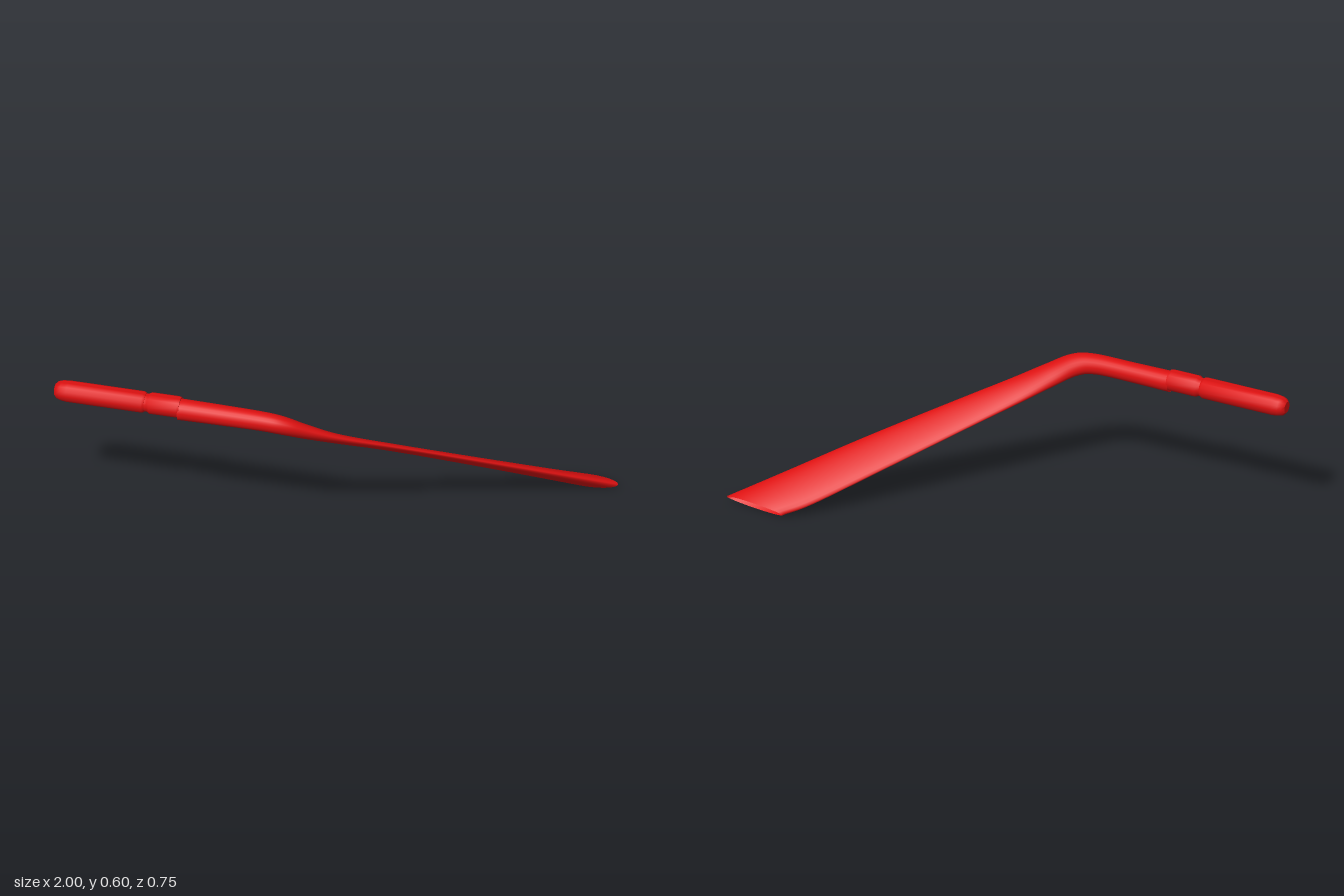
import * as THREE from 'three';
import { toCreasedNormals } from 'three/addons/utils/BufferGeometryUtils.js';

const red = new THREE.MeshStandardMaterial({ color: 0xdd1010, side: THREE.DoubleSide });
const ORIGIN = new THREE.Vector3(0, 0.553, 0.336);
// The lever bends in a tilted plane spanned by x and ACROSS; NORMAL is its thin direction
const ACROSS = new THREE.Vector3(0, -0.605, -0.796);
const NORMAL = new THREE.Vector3(0, 0.796, -0.605);

// Sections: inner edge x, v; outer edge x, v; offset along NORMAL; half thickness
const SECTIONS = [
  [-0.52, 0.040, -0.52, -0.040, -0.003, 0.041],
  [-0.36, 0.038, -0.36, -0.038, -0.003, 0.039],
  [-0.22, 0.040, -0.19, -0.036, -0.004, 0.037],
  [-0.15, 0.060, -0.10, -0.015, -0.008, 0.035],
  [-0.08, 0.115, -0.01, 0.045, -0.016, 0.027],
  [0.03, 0.215, 0.10, 0.128, -0.021, 0.018],
  [0.20, 0.375, 0.30, 0.285, -0.016, 0.014],
  [0.45, 0.610, 0.57, 0.500, -0.012, 0.016],
  [0.66, 0.805, 0.81, 0.700, -0.009, 0.020],
  [0.76, 0.878, 1.00, 0.857, -0.007, 0.024],
];

function leverGeometry(rings, sides) {
  const curve = (pick) => new THREE.CatmullRomCurve3(
    SECTIONS.map((s) => new THREE.Vector3(...pick(s))), false, 'catmullrom', 0.5);
  const inner = curve((s) => [s[0], s[1], s[4]]);
  const outer = curve((s) => [s[2], s[3], s[4]]);
  const thick = curve((s) => [s[5], 0, 0]);
  const pos = [], index = [];
  for (let i = 0; i <= rings; i++) {
    const t = i / rings;
    const a = inner.getPoint(t), b = outer.getPoint(t), h = thick.getPoint(t).x;
    const mid = a.clone().add(b).multiplyScalar(0.5);
    const half = a.clone().sub(b).multiplyScalar(0.5);
    for (let j = 0; j < sides; j++) {
      const ang = (j / sides) * Math.PI * 2;
      const q = mid.clone().addScaledVector(half, Math.cos(ang));
      const p = ORIGIN.clone()
        .addScaledVector(ACROSS, q.y)
        .addScaledVector(NORMAL, q.z + h * Math.sin(ang));
      p.x += q.x;
      pos.push(p.x, p.y, p.z);
      if (i < rings) {
        const k = (j + 1) % sides, r0 = i * sides, r1 = r0 + sides;
        index.push(r0 + j, r0 + k, r1 + j, r0 + k, r1 + k, r1 + j);
      }
    }
  }
  const g = new THREE.BufferGeometry();
  g.setAttribute('position', new THREE.Float32BufferAttribute(pos, 3));
  g.setIndex(index);
  g.computeVertexNormals();
  return g;
}

// Turned part along x from [radius, x] points
function turned(name, points) {
  const g = new THREE.LatheGeometry(points.map(([r, x]) => new THREE.Vector2(r, x)), 14);
  g.rotateZ(-Math.PI / 2);
  const mesh = new THREE.Mesh(toCreasedNormals(g, 0.7), red);
  mesh.name = name;
  mesh.position.set(0, 0.559, 0.337);
  return mesh;
}

export function createModel() {
  const group = new THREE.Group();
  group.name = 'bentLever';

  // Handle with a rounded end
  group.add(turned('grip', [
    [0, -1], [0.022, -1], [0.033, -0.99], [0.038, -0.975], [0.041, -0.95],
    [0.041, -0.66], [0.036, -0.65], [0, -0.65],
  ]));
  // Groove and collar between grip and lever
  group.add(turned('collar', [
    [0.034, -0.655], [0.035, -0.64], [0.041, -0.63], [0.041, -0.525], [0.039, -0.515], [0, -0.515],
  ]));

  // Shoulder closing the start of the lever
  const shoulder = new THREE.Mesh(new THREE.CircleGeometry(0.04, 20), red);
  shoulder.name = 'shoulder';
  shoulder.rotation.y = -Math.PI / 2;
  shoulder.position.set(-0.52, 0.5505, 0.338);
  group.add(shoulder);

  // Bent arm flattening into a wide, open-ended blade
  const lever = new THREE.Mesh(leverGeometry(72, 24), red);
  lever.name = 'leverArm';
  group.add(lever);
  return group;
}
